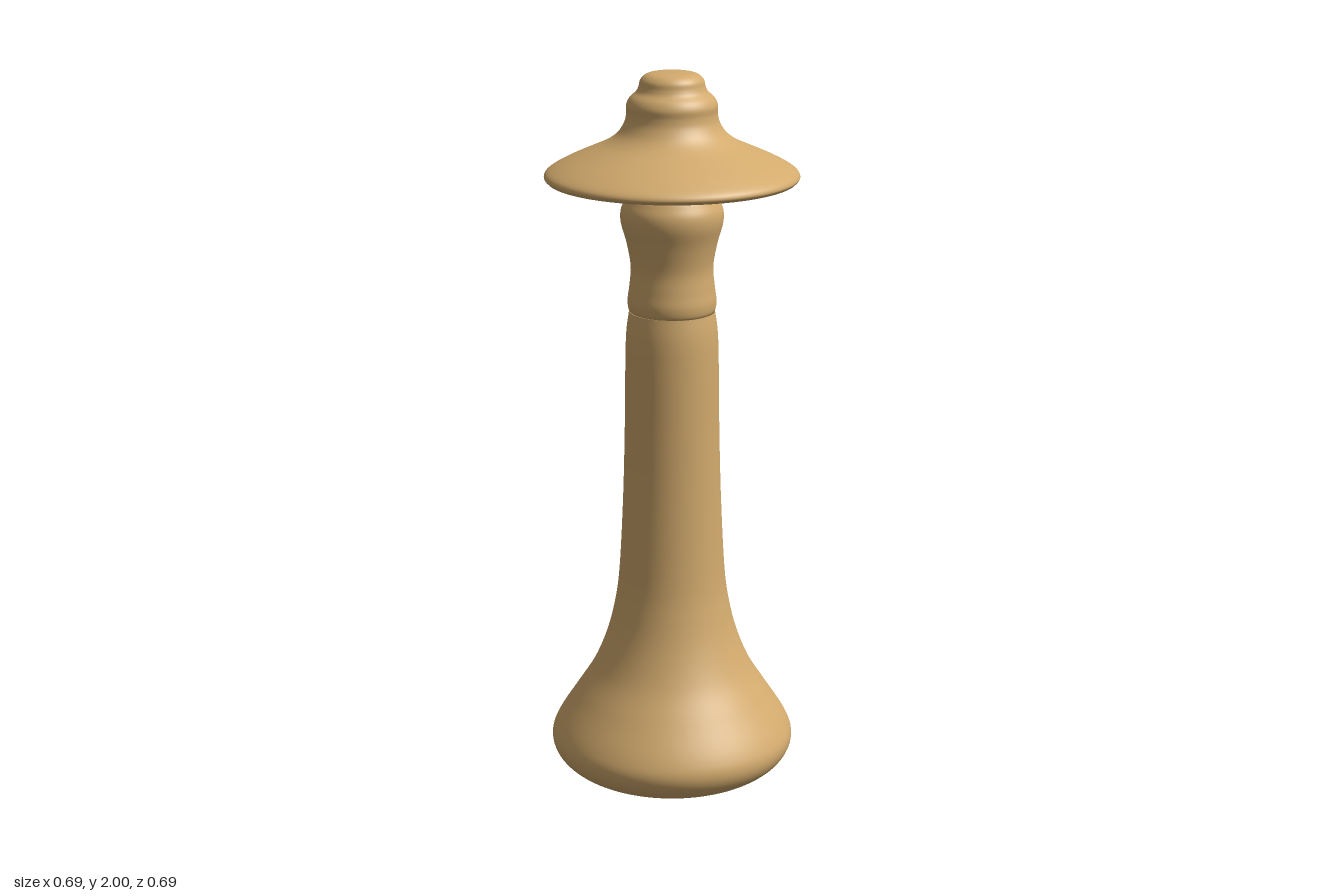
import * as THREE from 'three';

const material = new THREE.MeshStandardMaterial({ color: 0xd2aa6d, side: THREE.DoubleSide });

// Turned part: a smooth curve through [radius, height] points, spun about y
function turned(name, profile, steps) {
  const curve = new THREE.SplineCurve(profile.map(([r, y]) => new THREE.Vector2(r, y)));
  const points = curve.getPoints(steps);
  points.forEach((p) => { p.x = Math.max(p.x, 0); });
  const mesh = new THREE.Mesh(new THREE.LatheGeometry(points, 96), material);
  mesh.name = name;
  return mesh;
}

export function createModel() {
  const group = new THREE.Group();
  group.name = 'turnedPiece';

  // Flared foot running up into the long tapering shaft
  group.add(turned('baseAndShaft', [
    [0, 0], [0.12, 0.004], [0.22, 0.01], [0.28, 0.025], [0.325, 0.06], [0.342, 0.105],
    [0.326, 0.155], [0.272, 0.24], [0.222, 0.32], [0.185, 0.41], [0.162, 0.5],
    [0.148, 0.6], [0.137, 0.8], [0.131, 1.0], [0.128, 1.2], [0.125, 1.29], [0.117, 1.35],
  ], 96));

  // Waisted collar above the groove
  group.add(turned('collar', [
    [0.105, 1.349], [0.117, 1.353], [0.121, 1.38], [0.116, 1.42], [0.112, 1.475],
    [0.123, 1.54], [0.138, 1.595], [0.138, 1.63], [0.126, 1.658], [0.118, 1.675],
    [0.122, 1.692], [0.15, 1.705], [0.18, 1.709],
  ], 72));

  // Flat underside of the brim
  group.add(turned('brimUnderside', [[0.15, 1.705], [0.2, 1.71], [0.27, 1.711], [0.335, 1.711]], 12));

  // Wide sloping brim with a rounded rim, rising to the crown
  group.add(turned('brimAndCrown', [
    [0.335, 1.711], [0.343, 1.722], [0.332, 1.738], [0.29, 1.762], [0.235, 1.787],
    [0.18, 1.812], [0.147, 1.836], [0.128, 1.865], [0.122, 1.89], [0.122, 1.913],
    [0.113, 1.932], [0.096, 1.948], [0.089, 1.962], [0.084, 1.98], [0.068, 1.994],
    [0.04, 1.999], [0, 2],
  ], 96));

  return group;
}
